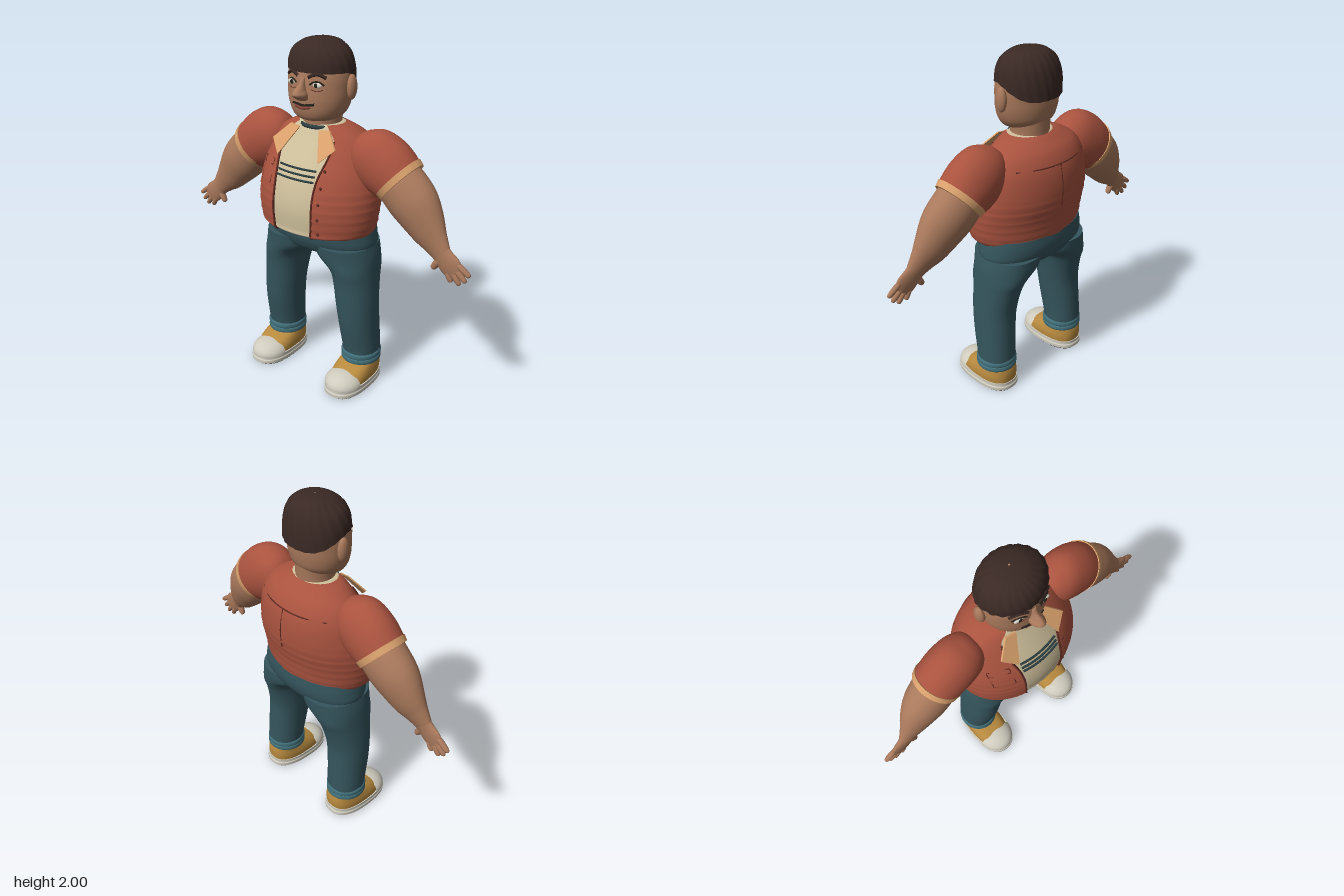
import * as THREE from 'three';

const mat = (color) => new THREE.MeshStandardMaterial({ color, side: THREE.DoubleSide });
const M = {
  skin: mat(0xa9795c), jacket: mat(0xa9533f), seam: mat(0x5e2b22), trim: mat(0xd8a06c), shirt: mat(0xcfc09c),
  stripe: mat(0x2c3f42), pants: mat(0x35555d), cuff: mat(0x42707a), hair: mat(0x3a2924), shoe: mat(0xb88a3f),
  rubber: mat(0xcfccbe), black: mat(0x24221c), lip: mat(0x8a4a3c), white: mat(0xd9d4c8),
};

// Catmull-Rom resampling of section rows [x, y, z, halfWidth, halfDepth, gap]
function smooth(rows, n = 6) {
  const out = [], at = (i) => rows[Math.max(0, Math.min(rows.length - 1, i))];
  for (let i = 0; i < rows.length - 1; i++) for (let k = 0; k < n; k++) {
    const t = k / n;
    out.push(rows[i].map((p1, c) => {
      const p0 = at(i - 1)[c], p2 = at(i + 1)[c], p3 = at(i + 2)[c];
      return p1 + 0.5 * t * (p2 - p0 + t * (2 * p0 - 5 * p1 + 4 * p2 - p3 + t * (3 * (p1 - p2) + p3 - p0)));
    }));
  }
  out.push(rows[rows.length - 1]);
  return out;
}

// Skin of elliptical rings; tilt turns rings across the path, a gap opens the front
function loft(rows, { tilt = false, power = 2, seg = 40, cap = true } = {}) {
  const open = rows[0].length > 5, cols = open ? seg + 1 : seg, pos = [], idx = [];
  const rings = rows.map((r, i) => {
    const a = rows[Math.max(0, i - 1)], b = rows[Math.min(rows.length - 1, i + 1)];
    const l = Math.hypot(b[0] - a[0], b[1] - a[1]) || 1;
    const ux = tilt ? (b[1] - a[1]) / l : 1, uy = tilt ? -(b[0] - a[0]) / l : 0;
    const g = open ? Math.asin(Math.min(0.99, r[5] / r[3])) : 0;
    return Array.from({ length: cols }, (_, j) => {
      const th = g + (j / seg) * (2 * Math.PI - 2 * g), s = Math.sin(th), c = Math.cos(th);
      const w = r[3] * Math.sign(s) * Math.abs(s) ** (2 / power), d = r[4] * Math.sign(c) * Math.abs(c) ** (2 / power);
      return [r[0] + ux * w, r[1] + uy * w, r[2] + d];
    });
  });
  if (cap && !open) {
    const end = (r) => Array(cols).fill(r.slice(0, 3));
    rings.unshift(end(rows[0]), rings[0]);
    rings.push(rings[rings.length - 1], end(rows[rows.length - 1]));
  }
  rings.forEach((ring) => ring.forEach((p) => pos.push(...p)));
  for (let i = 0; i < rings.length - 1; i++) for (let j = 0; j < seg; j++) {
    const k = (j + 1) % cols, a = i * cols + j, b = i * cols + k, c = a + cols, d = b + cols;
    idx.push(a, b, d, a, d, c);
  }
  const g = new THREE.BufferGeometry();
  g.setAttribute('position', new THREE.Float32BufferAttribute(pos, 3));
  g.setIndex(idx);
  g.computeVertexNormals();
  return g;
}

const tube = (pts, r) => new THREE.TubeGeometry(new THREE.CatmullRomCurve3(pts), 24, r, 6);
const ball = (x, y, z, rx, ry, rz) => new THREE.SphereGeometry(1, 24, 16).scale(rx, ry, rz).translate(x, y, z);

// Point on the front (s = 1) or back (s = -1) of a lofted body
function onBody(rows, x, y, s = 1) {
  let i = rows.findIndex((r) => r[1] >= y);
  i = i < 1 ? 1 : i;
  const a = rows[i - 1], b = rows[i], t = (y - a[1]) / (b[1] - a[1]), f = (c) => a[c] + (b[c] - a[c]) * t;
  return new THREE.Vector3(x, y, f(2) + s * f(4) * Math.sqrt(Math.max(0, 1 - (x / f(3)) ** 2)));
}
const line = (rows, pts, r, s = 1) => tube(pts.map(([x, y]) => onBody(rows, x, y, s)), r);

// Tapered finger with rounded ends
function finger(x0, y0, x1, y1, r) {
  const rows = [[0, 0.3], [0.08, 0.85], [0.4, 1], [0.8, 0.85], [0.95, 0.6], [1, 0.15]];
  return loft(smooth(rows.map(([t, k]) => [x0 + (x1 - x0) * t, y0 + (y1 - y0) * t, 0.018, r * k, r * k]), 3), { tilt: true, seg: 12 });
}

export function createModel() {
  const root = new THREE.Group();
  const add = (name, geo, m) => {
    const mesh = new THREE.Mesh(geo, m);
    mesh.name = name;
    root.add(mesh);
  };
  // Adds a part on the left and its mirror image on the right
  const pair = (name, geo, m) => {
    add('left ' + name, geo, m);
    const g = geo.clone().scale(-1, 1, 1), ix = g.index.array;
    for (let i = 0; i < ix.length; i += 3) [ix[i], ix[i + 1]] = [ix[i + 1], ix[i]];
    g.computeVertexNormals();
    add('right ' + name, g, m);
  };

  // Torso: shirt beneath an open jacket
  const torso = smooth([
    [0, 0.955, -0.02, 0.32, 0.2, 0.12], [0, 0.967, 0.02, 0.345, 0.245, 0.12], [0, 1.0, 0.02, 0.362, 0.252, 0.125],
    [0, 1.1, 0.015, 0.375, 0.262, 0.13], [0, 1.2, -0.002, 0.375, 0.265, 0.13], [0, 1.3, -0.02, 0.36, 0.25, 0.138],
    [0, 1.4, -0.04, 0.33, 0.215, 0.16], [0, 1.48, -0.045, 0.28, 0.172, 0.16], [0, 1.53, -0.03, 0.2, 0.13, 0.115],
    [0, 1.55, -0.02, 0.135, 0.11, 0.09]]);
  const fold = (y) => (y > 1 && y < 1.25 ? 0.0025 * Math.sin(y * 130) : 0);
  add('jacket', loft(torso.map((r) => [r[0], r[1], r[2], r[3] + fold(r[1]), r[4] + fold(r[1]), r[5]]), { seg: 72 }), M.jacket);
  add('shirt', loft(torso.map((r) => [r[0], r[1], r[2], r[3] - 0.009, r[4] - 0.009]), { seg: 56 }), M.shirt);
  pair('jacket edge', tube(torso.filter((r, i) => i % 3 === 0 && r[1] < 1.5).map((r) => onBody(torso, r[5], r[1])), 0.006), M.seam);
  for (const y of [1.335, 1.307, 1.28])
    add('shirt stripe', line(torso, [-0.12, -0.06, 0, 0.06, 0.12].map((x) => [x, y]), 0.0065), M.stripe);
  for (let y = 1.0; y < 1.4; y += 0.085) {
    const p = onBody(torso, 0.165, y);
    add('button', ball(p.x, p.y, p.z, 0.009, 0.009, 0.006), M.seam);
  }
  [[[-0.285, 1.33], [-0.18, 1.34]], [[-0.18, 1.34], [-0.175, 1.22]], [[-0.175, 1.22], [-0.28, 1.21]], [[-0.28, 1.21], [-0.285, 1.33]],
    [[-0.285, 1.3], [-0.18, 1.31]]].forEach((p) => add('pocket seam', line(torso, p, 0.0035), M.seam));
  add('back yoke seam', line(torso, [-0.25, -0.12, 0, 0.12, 0.25].map((x) => [x, 1.42]), 0.004, -1), M.seam);
  add('back pleat', line(torso, [[0, 1.42], [0, 1.3], [0, 1.18]], 0.004, -1), M.seam);
  add('shirt neckband', new THREE.TorusGeometry(0.112, 0.012, 8, 40).rotateX(Math.PI / 2).translate(0, 1.535, -0.02), M.stripe);

  // Collar flaps, leaning forward from the neck
  const flap = new THREE.Shape([[0.065, 1.525], [0.135, 1.385], [0.208, 1.455], [0.13, 1.535]].map((p) => new THREE.Vector2(...p)));
  const collar = new THREE.ExtrudeGeometry(flap, { depth: 0.01, bevelEnabled: false });
  const cp = collar.attributes.position;
  for (let i = 0; i < cp.count; i++) cp.setZ(i, cp.getZ(i) + 0.09 + (1.53 - cp.getY(i)) * 0.75);
  collar.setIndex([...Array(cp.count).keys()]);
  collar.computeVertexNormals();
  pair('collar flap', collar, M.trim);

  // Sleeves, arms and hands
  pair('sleeve', loft(smooth([[0.225, 1.47, -0.02, 0.01, 0.01], [0.235, 1.465, -0.02, 0.065, 0.06], [0.27, 1.447, -0.02, 0.115, 0.1],
    [0.33, 1.415, -0.02, 0.16, 0.127], [0.42, 1.363, -0.022, 0.168, 0.135], [0.505, 1.305, -0.023, 0.147, 0.13]]), { tilt: true }), M.jacket);
  pair('sleeve band', loft([[0.487, 1.32, -0.023, 0.154, 0.136], [0.514, 1.297, -0.023, 0.147, 0.131]], { tilt: true }), M.trim);
  pair('arm', loft(smooth([[0.47, 1.33, -0.02, 0.13, 0.115], [0.53, 1.27, -0.02, 0.14, 0.117], [0.605, 1.195, -0.015, 0.137, 0.108],
    [0.69, 1.09, -0.006, 0.105, 0.075], [0.745, 1.03, 0.005, 0.076, 0.048], [0.785, 0.985, 0.013, 0.057, 0.032]]), { tilt: true }), M.skin);
  pair('palm', loft(smooth([[0.77, 1.0, 0.012, 0.057, 0.032], [0.805, 0.965, 0.016, 0.06, 0.025], [0.845, 0.93, 0.018, 0.064, 0.02],
    [0.875, 0.9, 0.018, 0.05, 0.014]]), { tilt: true, seg: 24 }), M.skin);
  [[0.88, 0.955, 0.955, 0.903], [0.87, 0.925, 0.935, 0.865], [0.85, 0.91, 0.902, 0.84], [0.825, 0.9, 0.853, 0.842], [0.78, 0.955, 0.742, 0.888]]
    .forEach((f, i) => pair(i < 4 ? 'finger' : 'thumb', finger(...f, i < 4 ? 0.0165 : 0.02), M.skin));

  // Trousers
  add('trouser seat', loft(smooth([[0, 0.805, -0.025, 0.2, 0.11], [0, 0.83, -0.025, 0.31, 0.165], [0, 0.88, -0.025, 0.346, 0.196],
    [0, 0.94, -0.023, 0.342, 0.21], [0, 1.0, -0.02, 0.33, 0.21]]), { power: 2.2 }), M.pants);
  pair('trouser leg', loft(smooth([[0.285, 0.14, -0.03, 0.105, 0.11], [0.284, 0.22, -0.028, 0.108, 0.113], [0.276, 0.38, -0.01, 0.112, 0.125],
    [0.265, 0.52, -0.002, 0.117, 0.132], [0.25, 0.66, -0.012, 0.121, 0.152], [0.234, 0.74, -0.02, 0.131, 0.174],
    [0.186, 0.81, -0.024, 0.173, 0.188], [0.172, 0.88, -0.023, 0.172, 0.196]]), { power: 2.15 }), M.pants);
  for (const y of [0.14, 0.172])
    pair('trouser cuff', loft(smooth([[0.284, y, -0.027, 0.11, 0.114], [0.284, y + 0.007, -0.027, 0.116, 0.12],
      [0.284, y + 0.025, -0.027, 0.116, 0.12], [0.284, y + 0.034, -0.027, 0.11, 0.115]], 3)), M.cuff);

  // Shoes
  const shoe = (rows) => loft(smooth(rows.map(([y, back, front, w]) => [0.283, y, (back + front) / 2, w, (front - back) / 2]), 4), { power: 2.5 });
  pair('shoe tread', shoe([[0, -0.15, 0.258, 0.112], [0.01, -0.153, 0.262, 0.115]]), M.black);
  pair('shoe sole', shoe([[0.008, -0.157, 0.267, 0.119], [0.028, -0.157, 0.267, 0.12], [0.034, -0.152, 0.262, 0.116], [0.054, -0.152, 0.262, 0.116]]), M.rubber);
  pair('shoe upper', shoe([[0.05, -0.147, 0.235, 0.11], [0.085, -0.15, 0.205, 0.11], [0.12, -0.148, 0.15, 0.103], [0.155, -0.14, 0.06, 0.093]]), M.shoe);
  pair('toe cap', new THREE.SphereGeometry(1, 28, 12, 0, Math.PI, 0, Math.PI / 2).scale(0.114, 0.074, 0.125).translate(0.283, 0.05, 0.138), M.rubber);

  // Neck and head
  add('neck', loft(smooth([[0, 1.49, -0.02, 0.115, 0.11], [0, 1.55, -0.02, 0.107, 0.107], [0, 1.66, -0.02, 0.115, 0.115]])), M.skin);
  const head = smooth([[0, 1.568, 0.04, 0.05, 0.05], [0, 1.582, 0.028, 0.115, 0.1], [0, 1.62, 0.01, 0.156, 0.138], [0, 1.68, 0.004, 0.178, 0.152],
    [0, 1.75, 0, 0.185, 0.154], [0, 1.82, -0.004, 0.183, 0.152], [0, 1.9, -0.012, 0.162, 0.138], [0, 1.96, -0.015, 0.1, 0.08]]);
  add('head', loft(head, { seg: 48 }), M.skin);
  add('nose', loft(smooth([[0, 1.688, 0.15, 0.015, 0.015], [0, 1.7, 0.158, 0.034, 0.036], [0, 1.725, 0.174, 0.036, 0.052],
    [0, 1.748, 0.17, 0.024, 0.046], [0, 1.775, 0.155, 0.016, 0.026], [0, 1.81, 0.142, 0.014, 0.016]]), { seg: 24 }), M.skin);
  pair('ear', ball(0.195, 1.757, -0.012, 0.024, 0.067, 0.034).rotateY(0), M.skin);
  const e = onBody(head, 0.078, 1.776);
  pair('eye', ball(e.x, e.y, e.z - 0.002, 0.032, 0.015, 0.01), M.white);
  pair('iris', ball(e.x, e.y, e.z + 0.005, 0.012, 0.012, 0.006), M.black);
  pair('upper eyelid', line(head, [[0.042, 1.776], [0.062, 1.79], [0.09, 1.792], [0.115, 1.775]], 0.005), M.black);
  pair('eye crease', line(head, [[0.05, 1.752], [0.08, 1.744], [0.11, 1.752]], 0.002), M.seam);
  pair('eyebrow', line(head, [[0.032, 1.812], [0.06, 1.826], [0.09, 1.828], [0.122, 1.812]], 0.01), M.hair);
  add('upper lip', line(head, [[-0.07, 1.668], [-0.03, 1.667], [0, 1.663], [0.03, 1.667], [0.07, 1.675]], 0.007), M.black);
  add('lower lip', line(head, [[-0.05, 1.658], [0, 1.65], [0.05, 1.66]], 0.01), M.lip);

  // Hair cap: lower at the nape, with shallow strands
  const hair = loft(smooth([[0, 1.845, -0.012, 0.189, 0.162], [0, 1.895, -0.014, 0.184, 0.159], [0, 1.945, -0.018, 0.16, 0.14],
    [0, 1.98, -0.022, 0.105, 0.1], [0, 1.993, -0.022, 0.055, 0.055], [0, 1.998, -0.022, 0.005, 0.005]]), { seg: 120, cap: false });
  const hp = hair.attributes.position;
  for (let i = 0; i < hp.count; i++) {
    const x = hp.getX(i), y = hp.getY(i), z = hp.getZ(i), t = Math.max(0, (2 - y) / 0.155);
    const k = 1 + 0.013 * Math.sin(22 * Math.atan2(x, z) + 40 * y);
    hp.setXYZ(i, x * k, y - t * (0.012 + 0.085 * THREE.MathUtils.smoothstep(-z, -0.03, 0.17)), -0.02 + (z + 0.02) * k);
  }
  hair.computeVertexNormals();
  add('hair', hair, M.hair);
  return root;
}
